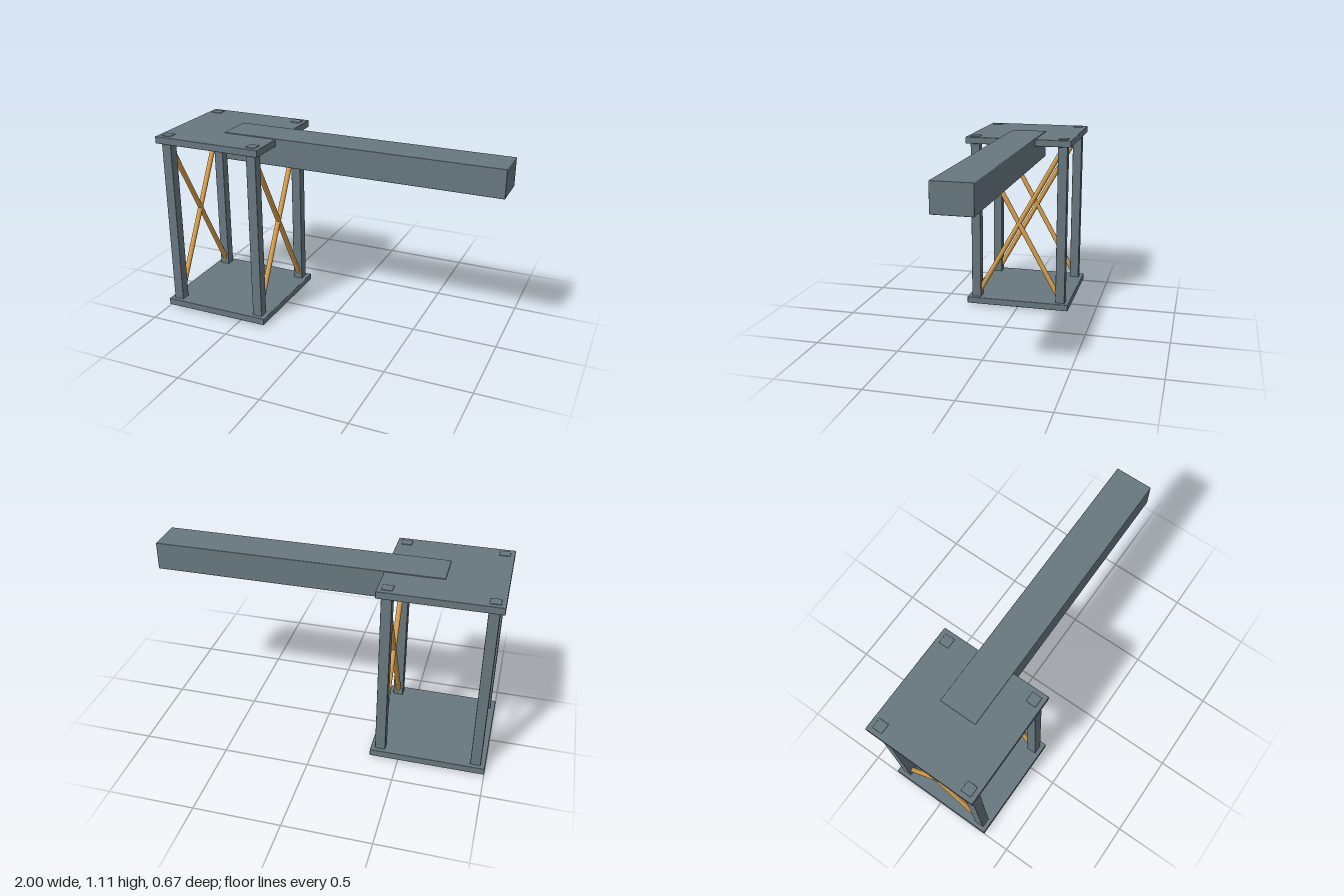
import * as THREE from 'three';
import { RoundedBoxGeometry } from 'three/addons/geometries/RoundedBoxGeometry.js';

export function createModel() {
  const model = new THREE.Group();
  model.name = 'bracedTower';

  const steel = new THREE.MeshStandardMaterial({ color: 0x687880 });
  steel.name = 'grey steel';
  const brass = new THREE.MeshStandardMaterial({ color: 0xd9a04c });
  brass.name = 'golden brace';

  const towerX = -0.667;   // centre of the tower
  const postOffset = 0.278; // posts from the tower centre
  const height = 1.111;

  const addBox = (name, w, h, d, x, y, z) => {
    const mesh = new THREE.Mesh(new RoundedBoxGeometry(w, h, d, 2, 0.004), steel);
    mesh.name = name;
    mesh.position.set(x, y, z);
    model.add(mesh);
  };

  // Round bar between two points
  const addBar = (name, a, b, radius) => {
    const dir = b.clone().sub(a);
    const mesh = new THREE.Mesh(new THREE.CylinderGeometry(radius, radius, dir.length(), 20), brass);
    mesh.name = name;
    mesh.position.copy(a).add(b).multiplyScalar(0.5);
    mesh.quaternion.setFromUnitVectors(new THREE.Vector3(0, 1, 0), dir.normalize());
    model.add(mesh);
  };

  // Base and top plates
  addBox('basePlate', 0.667, 0.042, 0.667, towerX, 0.03, 0);
  addBox('topPlate', 0.667, 0.042, 0.667, towerX, height - 0.025, 0);

  // Corner posts, slightly proud of both plates, and crossed braces on each side
  for (const sx of [-1, 1]) {
    const side = sx > 0 ? 'left' : 'right';
    const x = towerX + sx * postOffset;
    for (const sz of [-1, 1]) {
      const end = sz > 0 ? 'Front' : 'Back';
      addBox(`${side}${end}Post`, 0.06, height, 0.06, x, height / 2, sz * postOffset);
      addBar(`${side}${end}Brace`,
        new THREE.Vector3(x, 0.057, sz * postOffset),
        new THREE.Vector3(x, height - 0.057, -sz * postOffset), 0.0155);
    }
  }

  // Long horizontal arm let into the top plate
  addBox('arm', 1.667, 0.164, 0.222, 0.1665, height - 0.082 + 0.001, 0);

  return model;
}
